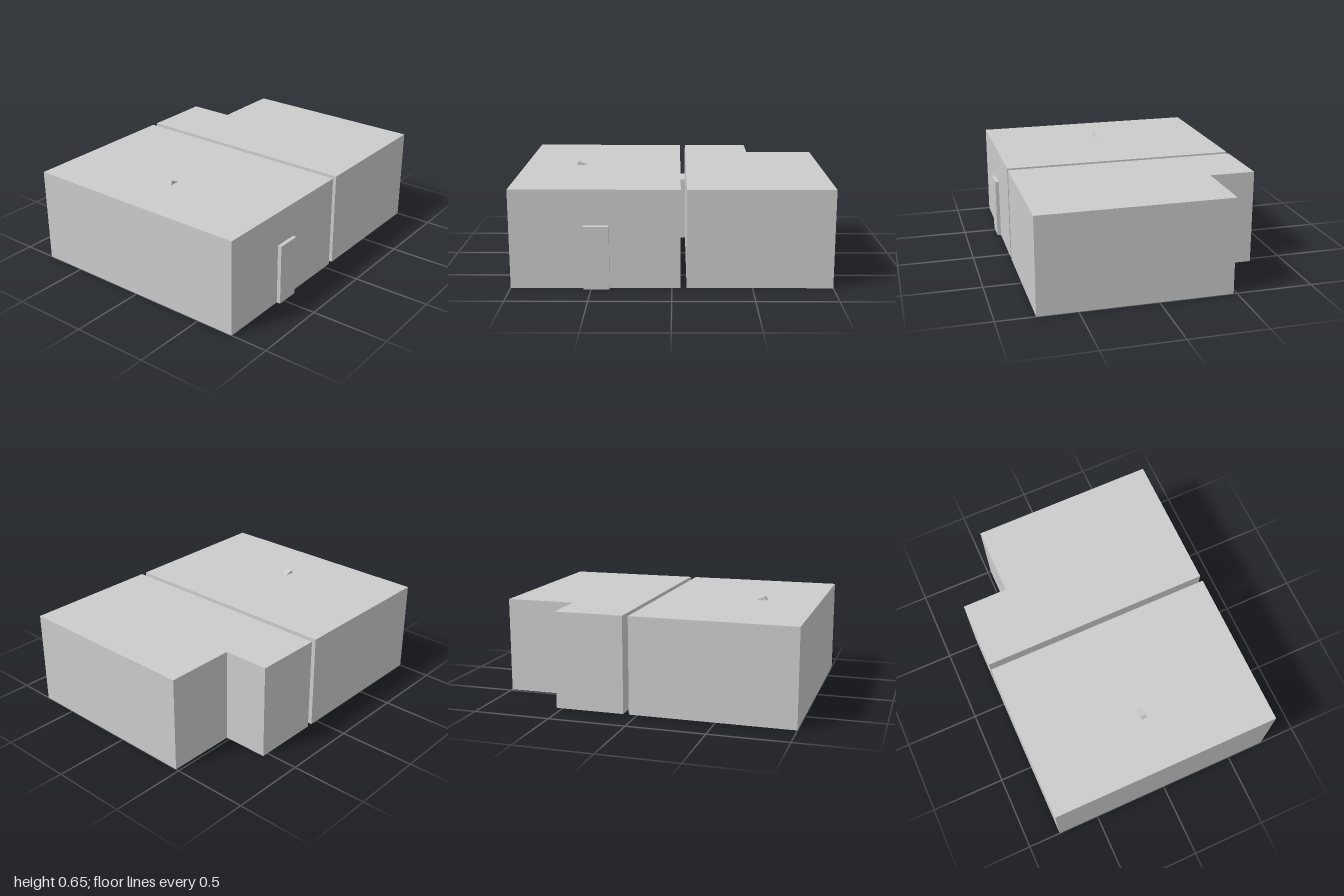
import * as THREE from 'three';

const material = new THREE.MeshStandardMaterial({ color: 0xcccccc, flatShading: true });

// Box given by its extents along each axis
function block(name, [x0, x1], [y0, y1], [z0, z1]) {
  const mesh = new THREE.Mesh(new THREE.BoxGeometry(x1 - x0, y1 - y0, z1 - z0), material);
  mesh.position.set((x0 + x1) / 2, (y0 + y1) / 2, (z0 + z1) / 2);
  mesh.name = name;
  return mesh;
}

// Outline [a, b] extruded along +z
function prism(name, outline, depth) {
  const shape = new THREE.Shape(outline.map(([a, b]) => new THREE.Vector2(a, b)));
  const geometry = new THREE.ExtrudeGeometry(shape, { depth, bevelEnabled: false });
  const mesh = new THREE.Mesh(geometry, material);
  mesh.name = name;
  return mesh;
}

export function createModel() {
  const group = new THREE.Group();
  group.name = 'building';
  const height = 0.625, back = -0.78, front = 0.755;

  // Rectangular wing with its front door
  group.add(block('mainWing', [-1, 0.054], [0, height], [back, front]));
  group.add(block('frontDoor', [-0.545, -0.385], [0, 0.4], [front, 0.78]));

  // L-shaped wing, notched at the back corner (plan drawn as x, -z)
  const sideWing = prism('sideWing', [
    [0.091, -front], [1, -front], [1, 0.478], [0.54, 0.478], [0.54, -back], [0.091, -back],
  ], height);
  sideWing.rotation.x = -Math.PI / 2;
  group.add(sideWing);

  // Passage bridging the gap between the wings
  group.add(block('passage', [0.054, 0.091], [0, 0.44], [-0.602, -0.387]));

  // Small tilted hatch on the roof
  const hatch = prism('roofHatch', [
    [-0.653, height], [-0.586, height], [-0.588, 0.628], [-0.64, 0.65],
  ], 0.036);
  hatch.position.z = -0.03;
  group.add(hatch);

  return group;
}
